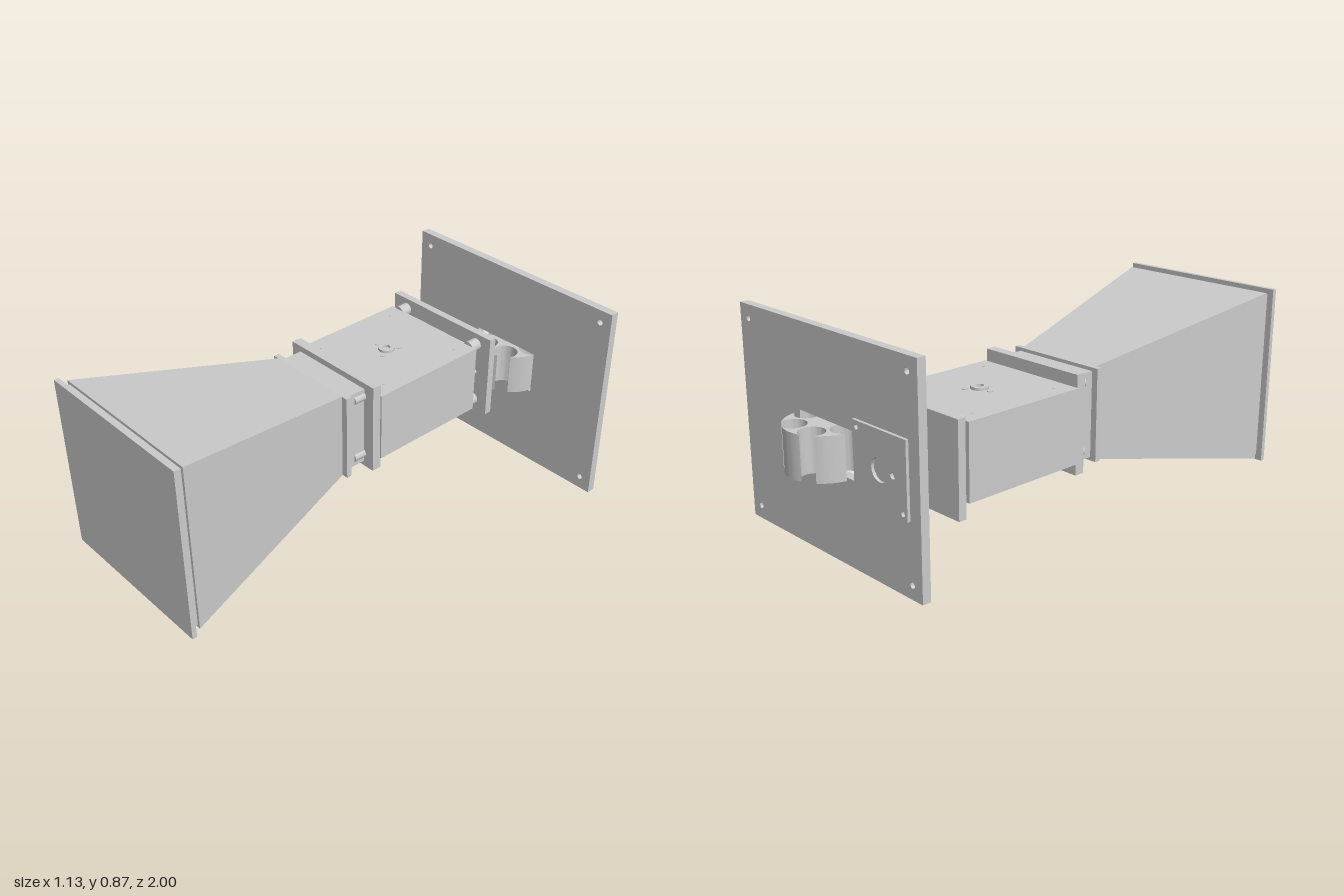
import * as THREE from 'three';
import { toCreasedNormals } from 'three/addons/utils/BufferGeometryUtils.js';

const CX = -0.19, CY = 0.436; // axis of the horn and its housing

export function createModel() {
  const model = new THREE.Group();
  const grey = new THREE.MeshStandardMaterial({ color: 0xcccccc });

  const add = (name, geometry) => {
    const mesh = new THREE.Mesh(geometry, grey);
    mesh.name = name;
    model.add(mesh);
    return mesh;
  };
  // Box given by its limits on each axis
  const box = (name, x0, x1, y0, y1, z0, z1) =>
    add(name, new THREE.BoxGeometry(x1 - x0, y1 - y0, z1 - z0)
      .translate((x0 + x1) / 2, (y0 + y1) / 2, (z0 + z1) / 2));
  // Box centred on the horn axis
  const axial = (name, hx, hy, z0, z1) =>
    box(name, CX - hx, CX + hx, CY - hy, CY + hy, z0, z1);
  // Cylinder along z
  const rod = (name, x, y, r, z0, z1) =>
    add(name, new THREE.CylinderGeometry(r, r, z1 - z0, 28)
      .rotateX(Math.PI / 2).translate(x, y, (z0 + z1) / 2));
  const rect = (T, x0, x1, y0, y1) => {
    const s = new T();
    s.moveTo(x0, y0); s.lineTo(x1, y0); s.lineTo(x1, y1); s.lineTo(x0, y1);
    s.closePath();
    return s;
  };
  const circle = (x, y, r) => new THREE.Path().absarc(x, y, r, 0, Math.PI * 2, false);
  const extrude = (shape, depth) => toCreasedNormals(
    new THREE.ExtrudeGeometry(shape, { depth, bevelEnabled: false, curveSegments: 18 }), 0.6);

  // Six-lobed rotor outline: a disc with round notches cut in its rim
  const rotorShape = (R, d, r) => {
    const a = Math.acos((R * R + d * d - r * r) / (2 * R * d));
    const b = Math.atan2(R * Math.sin(a), R * Math.cos(a) - d);
    const s = new THREE.Shape();
    for (let k = 0; k < 6; k++) {
      const lobe = Math.PI / 6 + k * Math.PI / 3, notch = lobe + Math.PI / 6;
      const h = Math.PI / 6 - a;
      s.absarc(0, 0, R, lobe - h, lobe + h, false);
      s.absarc(d * Math.cos(notch), d * Math.sin(notch), r, notch - b, notch + b, true);
    }
    return s;
  };
  const rotor = (name, x, y, z, height, R, d, r) =>
    add(name, extrude(rotorShape(R, d, r), height).rotateX(-Math.PI / 2).translate(x, y, z));

  // Horn: a box whose rear end is narrowed to the throat
  const horn = new THREE.BoxGeometry(2, 2, 0.855).translate(0, 0, 0.5275);
  const p = horn.attributes.position;
  for (let i = 0; i < p.count; i++) {
    const mouth = p.getZ(i) > 0.5;
    p.setX(i, CX + p.getX(i) * (mouth ? 0.364 : 0.193));
    p.setY(i, CY + p.getY(i) * (mouth ? 0.365 : 0.187));
  }
  horn.computeVertexNormals();
  add('horn', horn);
  axial('mouthStep', 0.352, 0.353, 0.955, 0.98);
  axial('mouthCover', 0.379, 0.378, 0.98, 1.0);

  // Throat, neck and front flange
  axial('throatFlange', 0.222, 0.188, 0.083, 0.107);
  axial('neck', 0.195, 0.174, -0.01, 0.085);
  axial('frontFlange', 0.246, 0.199, -0.053, -0.011);
  for (const sx of [-1, 1]) for (const sy of [-1, 1])
    rod('neckBolt', CX + sx * 0.185, CY + sy * 0.138, 0.02, -0.015, 0.043);

  // Housing: solid upper part above a slab with a round opening in its underside
  const hx = 0.253, z0 = -0.595, z1 = -0.05, zc = -0.315;
  const floor = 0.285, recess = 0.365;
  box('housing', CX - hx, CX + hx, recess, 0.585, z0, z1);
  const slab = rect(THREE.Shape, CX - hx, CX + hx, -z1, -z0);
  slab.holes.push(circle(CX, -zc, 0.2));
  for (const sx of [-1, 1]) for (const z of [-0.525, -0.12])
    slab.holes.push(circle(CX + sx * 0.19, -z, 0.01));
  add('housingBase', extrude(slab, recess - floor).rotateX(-Math.PI / 2).translate(0, floor, 0));
  rotor('innerRotor', CX, floor + 0.01, zc, recess - floor - 0.005, 0.155, 0.112, 0.05);

  // Fittings on top of the housing
  const ring = new THREE.Shape().absarc(0, 0, 0.035, 0, Math.PI * 2, false);
  ring.holes.push(circle(0, 0, 0.016));
  add('topCollar', extrude(ring, 0.012).rotateX(-Math.PI / 2).translate(CX, 0.584, zc));
  const stud = (name, x, z, r, h) => add(name,
    new THREE.CylinderGeometry(r, r, h, 16).translate(x, 0.584 + h / 2, z));
  for (const t of [Math.PI, Math.PI / 3, -Math.PI / 3])
    stud('collarScrew', CX + 0.055 * Math.cos(t), zc + 0.055 * Math.sin(t), 0.011, 0.004);
  for (const sx of [-1, 1]) for (const z of [-0.525, -0.12])
    stud('coverScrew', CX + sx * 0.192, z, 0.006, 0.003);

  // Rear flange on standoffs
  axial('rearFlange', 0.287, 0.185, -0.673, -0.64);
  for (const sx of [-1, 1]) {
    for (const sy of [-1, 1])
      rod('standoff', CX + sx * 0.21, CY + sy * 0.136, 0.027, -0.645, -0.59);
    rod('pin', CX + sx * 0.21, CY, 0.012, -0.645, -0.59);
  }

  // Mounting plate with corner holes and a slot for the rotor
  const plate = rect(THREE.Shape, -0.483, 0.563, 0, 0.868);
  for (const x of [-0.43, 0.51]) for (const y of [0.055, 0.814])
    plate.holes.push(circle(x, y, 0.012));
  plate.holes.push(rect(THREE.Path, -0.119, 0.199, 0.345, 0.53));
  add('mountingPlate', extrude(plate, 0.036).translate(0, 0, -0.845));
  rotor('outerRotor', 0.04, 0.35, -0.844, 0.175, 0.156, 0.112, 0.05);

  // Small cover plate on the back
  const cover = rect(THREE.Shape, -0.428, -0.137, 0.29, 0.582);
  cover.holes.push(circle(-0.283, CY, 0.045), circle(-0.355, CY, 0.013),
    circle(-0.405, 0.313, 0.01), circle(-0.16, 0.559, 0.01));
  add('backCover', extrude(cover, 0.013).translate(0, 0, -0.857));

  // Drive between the plates
  box('driveBase', -0.345, -0.125, 0.37, 0.5, -0.81, -0.798);
  rod('motor', -0.283, CY, 0.063, -0.81, -0.73);
  rod('motorShaft', -0.283, CY, 0.011, -0.73, -0.686);
  rod('gear', -0.177, CY, 0.056, -0.81, -0.755);
  rod('gearHub', -0.172, CY, 0.04, -0.757, -0.7);
  rod('bearing', -0.1, CY, 0.04, -0.737, -0.67);
  return model;
}
